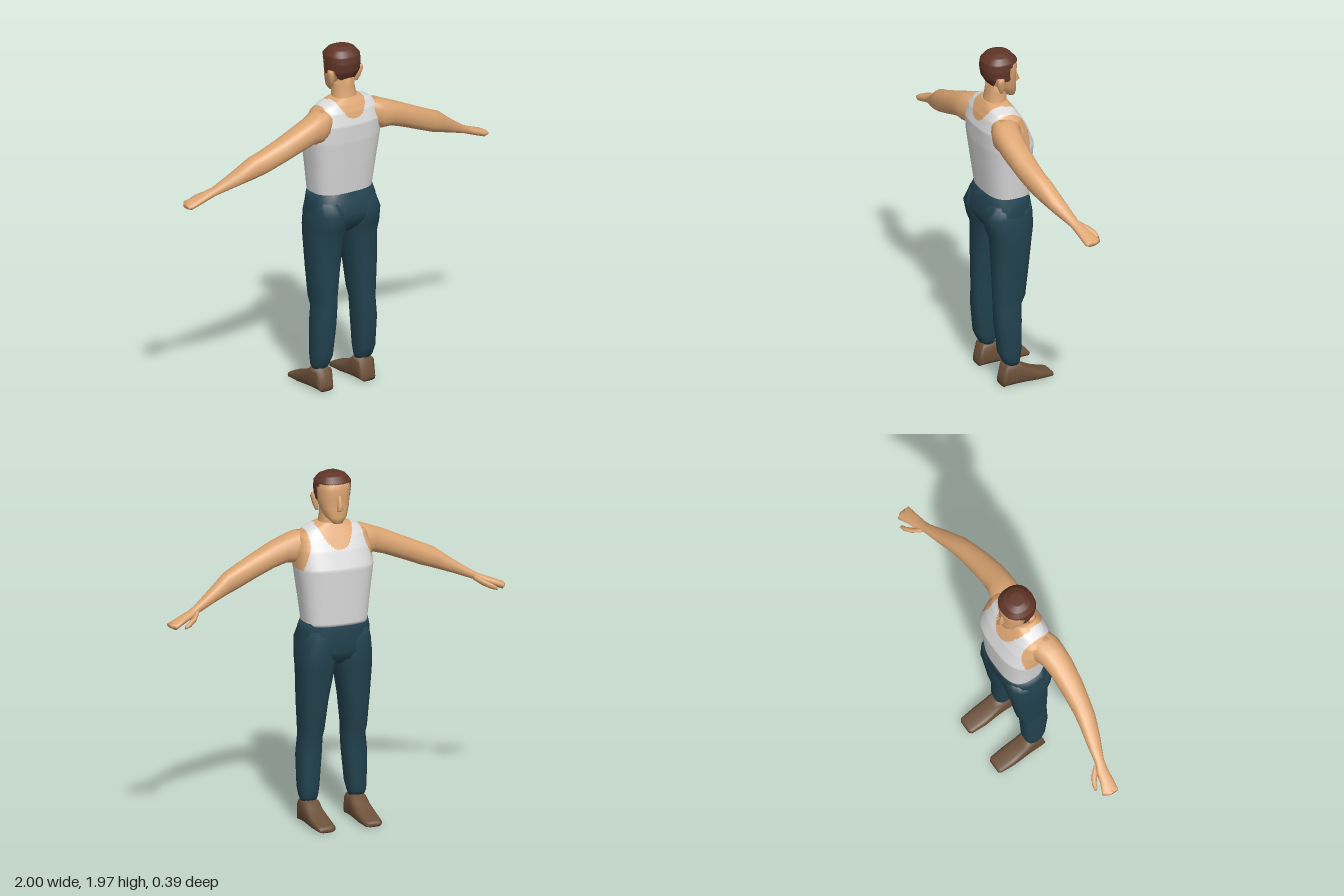
import * as THREE from 'three';

const mat = (name, color) => Object.assign(new THREE.MeshStandardMaterial({ color }), { name });

// Loft of rounded sections along an axis. Ring: [w, uLo, uHi, vLo, vHi], w ascending.
// Axis y: u = z, v = x.  Axis x: u = y, v = z.  Axis z: u = x, v = y.
const order = { x: (u, v, w) => [w, u, v], y: (u, v, w) => [v, w, u], z: (u, v, w) => [u, v, w] };
function loft(axis, rings, { sides = 16, power = 2.3, sub = 1 } = {}) {
  const rows = [];
  rings.forEach((r, i) => {
    const next = rings[i + 1];
    if (!next) return rows.push(r);
    for (let s = 0; s < sub; s++) rows.push(r.map((a, k) => a + (next[k] - a) * s / sub));
  });
  const pos = [], idx = [], bend = c => Math.sign(c) * Math.abs(c) ** (2 / power);
  for (const [w, u0, u1, v0, v1] of rows) {
    for (let j = 0; j < sides; j++) {
      const a = j / sides * Math.PI * 2;
      const u = (u0 + u1) / 2 + (u1 - u0) / 2 * bend(Math.cos(a));
      const v = (v0 + v1) / 2 + (v1 - v0) / 2 * bend(Math.sin(a));
      pos.push(...order[axis](u, v, w));
    }
  }
  for (let i = 0; i < rows.length - 1; i++) {
    for (let j = 0; j < sides; j++) {
      const a = i * sides + j, b = i * sides + (j + 1) % sides;
      idx.push(a, b, b + sides, a, b + sides, a + sides);
    }
  }
  // end caps
  const top = (rows.length - 1) * sides;
  for (let j = 1; j < sides - 1; j++) idx.push(0, j + 1, j, top, top + j, top + j + 1);
  const geo = new THREE.BufferGeometry();
  geo.setAttribute('position', new THREE.Float32BufferAttribute(pos, 3));
  geo.setIndex(idx);
  geo.computeVertexNormals();
  return geo;
}

// Mirrored copy across x = 0
function mirror(geo) {
  const g = geo.clone().scale(-1, 1, 1);
  g.setIndex(Array.from(g.index.array).reverse());
  g.computeVertexNormals();
  return g;
}

// Splits the faces in two groups by a rule on their centres
function split(geo, rule) {
  const p = geo.attributes.position, ix = geo.index.array, sets = [[], []];
  for (let i = 0; i < ix.length; i += 3) {
    const t = [ix[i], ix[i + 1], ix[i + 2]];
    const mid = f => (f(t[0]) + f(t[1]) + f(t[2])) / 3;
    sets[rule(mid(k => p.getX(k)), mid(k => p.getY(k)), mid(k => p.getZ(k))) ? 1 : 0].push(...t);
  }
  geo.setIndex([...sets[0], ...sets[1]]);
  geo.addGroup(0, sets[0].length, 0);
  geo.addGroup(sets[0].length, sets[1].length, 1);
  return geo;
}

export function createModel() {
  const skin = mat('skin', 0xdda673), shirt = mat('shirt', 0xdcdcdc), pants = mat('trousers', 0x22424f);
  const shoe = mat('shoe', 0x6b5039), hairMat = mat('hair', 0x603527);
  hairMat.side = THREE.DoubleSide;
  const model = new THREE.Group();
  model.name = 'man';
  const add = (name, geo, material) => {
    const m = new THREE.Mesh(geo, material);
    m.name = name;
    model.add(m);
  };
  const pair = (name, geo, material) => {
    add('left' + name, geo, material);
    add('right' + name, mirror(geo), material);
  };
  // symmetric vertical ring: height, front z, back z, half width
  const sym = rows => rows.map(([y, f, b, w]) => [y, f, b, -w, w]);

  // torso: vest with neck and arm openings
  const torso = loft('y', sym([
    [1.13, -0.095, 0.15, 0.18], [1.3, -0.103, 0.172, 0.2], [1.45, -0.11, 0.19, 0.22],
    [1.55, -0.07, 0.195, 0.215], [1.62, -0.03, 0.175, 0.2], [1.66, -0.003, 0.155, 0.155],
    [1.69, 0.015, 0.135, 0.075],
  ]), { sides: 128, power: 2.8, sub: 12 });
  add('torso', split(torso, (x, y, z) => {
    const ax = Math.abs(x);
    const neckHole = y > (z > 0.07 ? 1.585 : 1.555) + 0.11 * (ax / 0.1) ** 2.5;
    const armHole = y > 1.45 && ax > 0.16 + Math.max(0, 1.58 - y) * 0.38;
    return neckHole || armHole;
  }), [shirt, skin]);

  // neck
  add('neck', loft('y', sym([
    [1.62, -0.005, 0.145, 0.085], [1.69, 0.012, 0.132, 0.07], [1.74, 0.005, 0.122, 0.064], [1.82, 0, 0.12, 0.064],
  ])), skin);

  // head
  const headRows = [
    [1.695, -0.045, -0.005, 0.026], [1.73, -0.05, 0.055, 0.06], [1.78, -0.048, 0.105, 0.08],
    [1.83, -0.046, 0.135, 0.09], [1.88, -0.052, 0.143, 0.093], [1.92, -0.042, 0.137, 0.089],
    [1.95, -0.015, 0.11, 0.065], [1.965, 0.02, 0.08, 0.03],
  ];
  add('head', loft('y', sym(headRows)), skin);

  // hair: shell slightly outside the head, cut along the hairline
  const hair = split(loft('y', sym(headRows.map(([y, f, b, w]) => [y + 0.006, f - 0.006, b + 0.008, w + 0.009])),
    { sides: 64, sub: 8 }), (x, y, z) =>
    y > (z > 0.105 ? 1.78 : z > 0.065 ? 1.85 : z > 0.028 ? 1.825 : z > 0.01 ? 1.9 : 1.918));
  const cut = hair.groups[1];
  hair.setIndex(Array.from(hair.index.array).slice(cut.start));
  hair.clearGroups();
  add('hair', hair, hairMat);

  // nose and ears
  add('nose', loft('y', sym([
    [1.765, -0.055, -0.03, 0.013], [1.778, -0.08, -0.03, 0.018], [1.81, -0.066, -0.03, 0.012], [1.855, -0.053, -0.03, 0.008],
  ]), { sides: 8 }), skin);
  pair('Ear', loft('y', [
    [1.755, 0.065, 0.08, 0.07, 0.09], [1.785, 0.06, 0.095, 0.075, 0.102],
    [1.83, 0.06, 0.108, 0.08, 0.113], [1.85, 0.068, 0.1, 0.085, 0.108],
  ], { sides: 10 }), skin);

  // arms with hands
  pair('Arm', loft('x', [
    [0.13, 1.5, 1.645, 0.04, 0.165], [0.2, 1.465, 1.642, 0.015, 0.19], [0.26, 1.468, 1.618, 0.038, 0.19],
    [0.33, 1.447, 1.59, 0.045, 0.19], [0.45, 1.4, 1.535, 0.045, 0.175], [0.55, 1.36, 1.49, 0.04, 0.155],
    [0.62, 1.338, 1.46, 0.03, 0.138], [0.72, 1.305, 1.385, 0.012, 0.1], [0.83, 1.265, 1.312, -0.005, 0.05],
    [0.87, 1.248, 1.292, -0.025, 0.043], [0.92, 1.228, 1.272, -0.038, 0.038],
    [0.975, 1.207, 1.25, -0.062, 0.033], [0.998, 1.218, 1.238, -0.03, 0.028],
  ]), skin);
  pair('Thumb', loft('x', [
    [0.825, 1.265, 1.295, -0.015, 0.02], [0.86, 1.24, 1.275, -0.055, -0.012],
    [0.9, 1.222, 1.255, -0.078, -0.048], [0.93, 1.215, 1.235, -0.08, -0.062],
  ], { sides: 8 }), skin);

  // trousers
  add('hips', loft('y', sym([
    [0.9, -0.03, 0.1, 0.05], [0.94, -0.08, 0.15, 0.17], [0.98, -0.092, 0.178, 0.205],
    [1.03, -0.093, 0.192, 0.207], [1.1, -0.097, 0.172, 0.2], [1.145, -0.09, 0.153, 0.19],
  ]), { sides: 24, power: 2.6 }), pants);
  pair('TrouserLeg', loft('y', [
    [0.125, 0.01, 0.085, 0.1, 0.185], [0.15, 0, 0.098, 0.092, 0.195], [0.2, -0.007, 0.122, 0.083, 0.2],
    [0.38, -0.012, 0.14, 0.068, 0.203], [0.48, -0.014, 0.142, 0.063, 0.192], [0.53, -0.038, 0.143, 0.06, 0.195],
    [0.7, -0.058, 0.146, 0.04, 0.206], [0.88, -0.08, 0.148, 0.008, 0.214],
    [0.94, -0.09, 0.172, 0, 0.214], [1.03, -0.09, 0.193, 0, 0.208], [1.1, -0.08, 0.16, 0.02, 0.19],
  ], { power: 2.5 }), pants);

  // shoes
  pair('Shoe', loft('z', [
    [-0.197, 0.1, 0.18, 0, 0.022], [-0.185, 0.085, 0.192, 0, 0.035], [-0.1, 0.08, 0.198, 0, 0.062],
    [-0.02, 0.085, 0.195, 0, 0.105], [0.015, 0.085, 0.195, 0, 0.135], [0.085, 0.085, 0.195, 0, 0.135],
    [0.108, 0.095, 0.185, 0, 0.04],
  ], { power: 3.2 }), shoe);

  return model;
}
